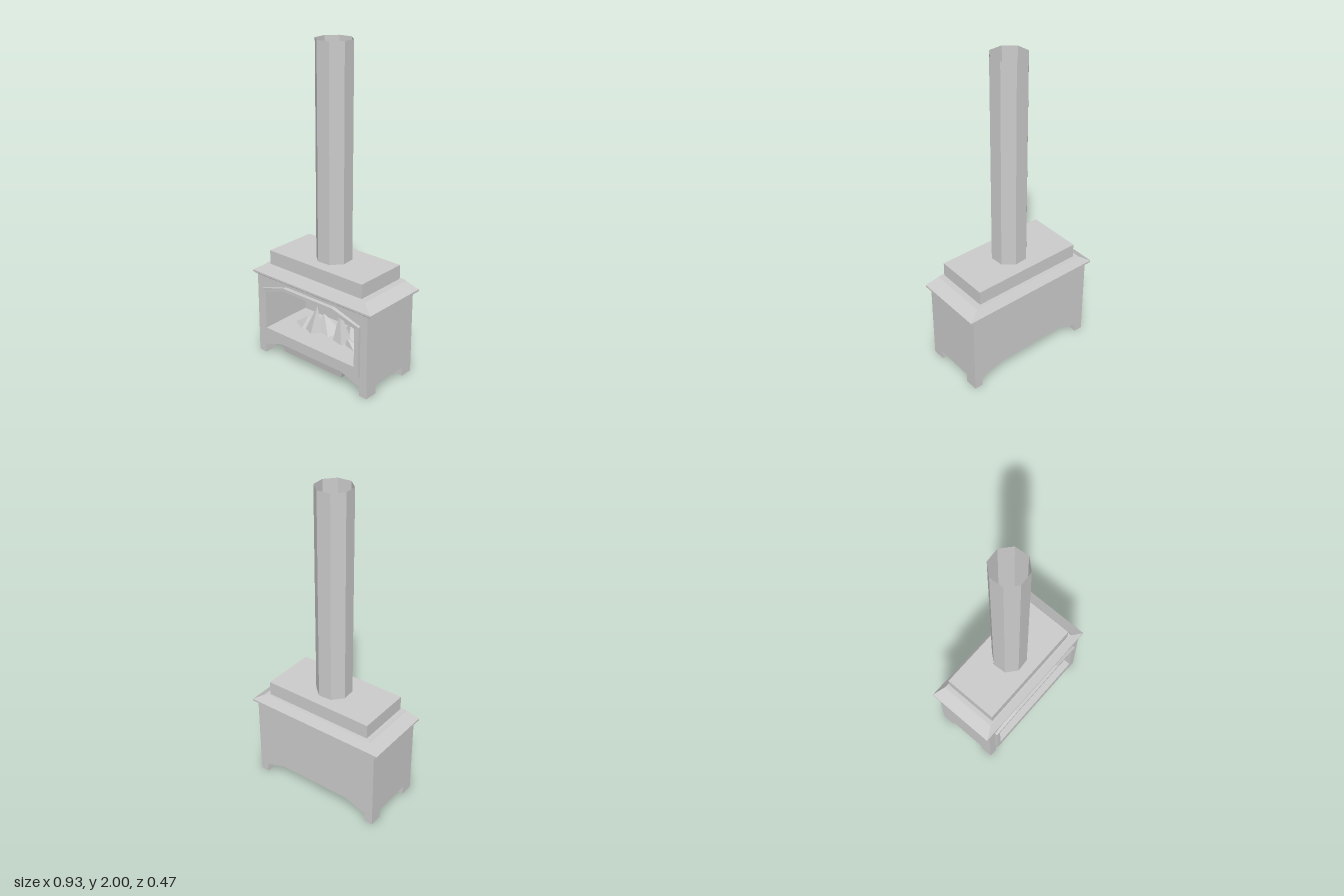
import * as THREE from 'three';

const metal = new THREE.MeshStandardMaterial({ color: 0xcccccc, flatShading: true });
const thin = new THREE.MeshStandardMaterial({ color: 0xcccccc, flatShading: true, side: THREE.DoubleSide });

// Stack of rectangles, each [y, halfWidth, zBack, zFront], bottom to top
function stack(rings) {
  const corners = rings.map(([y, x, zb, zf]) => [[-x, y, zf], [x, y, zf], [x, y, zb], [-x, y, zb]]);
  const pos = [];
  const quad = (a, b, c, d) => pos.push(...a, ...b, ...c, ...a, ...c, ...d);
  for (let r = 0; r < corners.length - 1; r++) {
    const lo = corners[r], hi = corners[r + 1];
    for (let i = 0; i < 4; i++) {
      const j = (i + 1) % 4;
      quad(lo[i], lo[j], hi[j], hi[i]);
    }
  }
  const [p, q, s, t] = corners[0];
  quad(t, s, q, p);
  quad(...corners[corners.length - 1]);
  const geo = new THREE.BufferGeometry();
  geo.setAttribute('position', new THREE.Float32BufferAttribute(pos, 3));
  geo.computeVertexNormals();
  return geo;
}

// Outline in the front plane, extruded from z0 to z1
function slab(outline, z0, z1, hole) {
  const toPoints = (list) => list.map(([x, y]) => new THREE.Vector2(x, y));
  const shape = new THREE.Shape(toPoints(outline));
  if (hole) shape.holes.push(new THREE.Path(toPoints(hole)));
  const geo = new THREE.ExtrudeGeometry(shape, { depth: z1 - z0, bevelEnabled: false });
  return geo.translate(0, 0, z0);
}

// Leaning pyramid with a quadrilateral base
function shard(x, z, halfW, halfD, tipX, tipY, tipZ, turn) {
  const base = 0.18;
  const geo = new THREE.ConeGeometry(1, 1, 4).toNonIndexed();
  geo.rotateY(turn);
  const p = geo.attributes.position;
  for (let i = 0; i < p.count; i++) {
    if (p.getY(i) > 0) p.setXYZ(i, tipX, tipY, tipZ);
    else p.setXYZ(i, x + p.getX(i) * halfW, base, z + p.getZ(i) * halfD);
  }
  geo.computeVertexNormals();
  return geo;
}

export function createModel() {
  const model = new THREE.Group();
  const add = (name, geo, mat = metal, parent = model) => {
    const mesh = new THREE.Mesh(geo, mat);
    mesh.name = name;
    parent.add(mesh);
    return mesh;
  };

  // Body with arched underside; the front section is hollow for the fire
  const W = 0.437;
  const bodyOutline = [
    [-W, 0.057], [-0.382, 0.057], [-0.24, 0.105], [0.24, 0.105],
    [0.382, 0.057], [W, 0.057], [W, 0.535], [-W, 0.535],
  ];
  const opening = [
    [-0.355, 0.19], [0.355, 0.19], [0.355, 0.437], [0.195, 0.493], [-0.195, 0.493], [-0.355, 0.437],
  ];
  add('fireboxFront', slab(bodyOutline, -0.13, 0.206, opening));
  add('fireboxBack', slab(bodyOutline, -0.217, -0.13));

  // Legs
  const legs = new THREE.Group();
  legs.name = 'legs';
  model.add(legs);
  for (const side of [-1, 1]) {
    for (const z of [0.164, -0.175]) {
      const geo = new THREE.BoxGeometry(0.055, 0.06, 0.084);
      add('leg', geo.translate(side * (W - 0.0275), 0.03, z), metal, legs);
    }
  }

  // Door frame, its crown standing slightly proud
  const frameOutline = [
    [-0.383, 0.125], [0.387, 0.125], [0.387, 0.455], [0.195, 0.513], [-0.195, 0.513], [-0.383, 0.455],
  ];
  const frame = slab(frameOutline, 0.204, 0.224, opening);
  const fp = frame.attributes.position;
  for (let i = 0; i < fp.count; i++) {
    if (fp.getZ(i) > 0.22 && fp.getY(i) > 0.48) fp.setZ(i, 0.231);
  }
  frame.computeVertexNormals();
  add('doorFrame', frame);

  // Ash pan beneath the body
  add('ashPan', stack([
    [0.053, 0.232, -0.08, 0.19],
    [0.108, 0.25, -0.1, 0.2],
  ]));

  // Overhanging top plate with sloped edges
  add('topPlate', stack([
    [0.53, 0.455, -0.222, 0.205],
    [0.54, 0.467, -0.234, 0.217],
    [0.552, 0.467, -0.234, 0.217],
    [0.598, 0.395, -0.2, 0.184],
    [0.606, 0.388, -0.195, 0.178],
  ]));
  add('flueBase', stack([
    [0.604, 0.362, -0.184, 0.168],
    [0.695, 0.362, -0.184, 0.168],
  ]));

  // Open eight-sided chimney pipe
  const pipe = new THREE.CylinderGeometry(0.111, 0.111, 1.306, 8, 1, true, THREE.MathUtils.degToRad(26.5));
  add('chimneyPipe', pipe.translate(0.003, 1.347, -0.008), thin);

  // Flames and embers
  const fire = new THREE.Group();
  fire.name = 'fire';
  model.add(fire);
  const shards = [
    // x, z, halfWidth, halfDepth, tipX, tipY, tipZ, turn
    [-0.11, 0.06, 0.06, 0.05, -0.1, 0.352, 0.03, 0.3],
    [-0.2, 0.03, 0.09, 0.07, -0.175, 0.258, 0.03, 0.2],
    [-0.03, 0.0, 0.11, 0.08, -0.09, 0.285, -0.02, 0.5],
    [0.11, 0.04, 0.06, 0.06, 0.075, 0.372, 0.02, 0.6],
    [0.13, -0.04, 0.09, 0.06, 0.11, 0.3, -0.05, 0.1],
    [0.23, 0.05, 0.08, 0.05, 0.165, 0.235, 0.06, 0.4],
    [0.28, 0.0, 0.1, 0.07, 0.35, 0.252, 0.0, 0.7],
  ];
  for (const s of shards) add('flame', shard(...s), metal, fire);

  return model;
}
